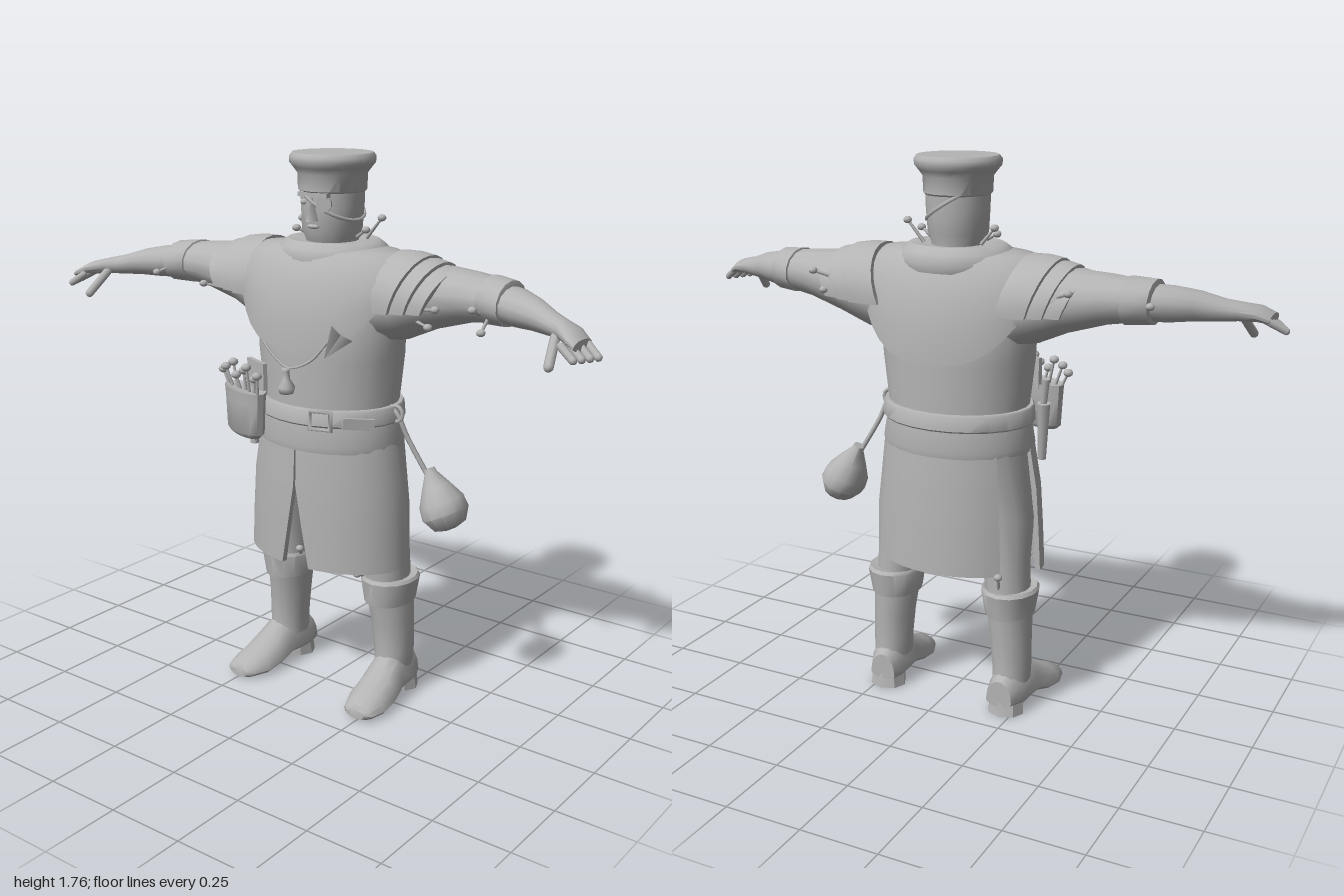
import * as THREE from 'three';
import { toCreasedNormals } from 'three/addons/utils/BufferGeometryUtils.js';

const V = (x, y, z) => new THREE.Vector3(x, y, z);

// Skin a list of closed loops; strip caps also suit thin C-shaped loops.
function loft(rings, crease = 0.75, caps = true) {
  const n = rings[0].length, pos = [], idx = [];
  rings.forEach(r => r.forEach(p => pos.push(p.x, p.y, p.z)));
  for (let k = 0; k < rings.length - 1; k++) for (let i = 0; i < n; i++) {
    const j = (i + 1) % n, a = k * n + i, b = k * n + j;
    idx.push(a, b, b + n, a, b + n, a + n);
  }
  if (caps) for (let i = 0; i < n / 2 - 1; i++) {
    const t = (rings.length - 1) * n, q = [i, i + 1, n - 2 - i, n - 1 - i];
    idx.push(q[0], q[2], q[1], q[0], q[3], q[2]);
    idx.push(t + q[0], t + q[1], t + q[2], t + q[0], t + q[2], t + q[3]);
  }
  const g = new THREE.BufferGeometry();
  g.setAttribute('position', new THREE.Float32BufferAttribute(pos, 3));
  g.setIndex(idx);
  return toCreasedNormals(g, crease);
}
const around = (n, f) => Array.from({ length: n }, (_, i) => f(i / n * Math.PI * 2));
// Upright body sections: [y, rx, rz, cx, cz]
const upright = (rows, n = 20) => loft(rows.map(([y, rx, rz, cx = 0, cz = -0.03]) =>
  around(n, a => V(cx + rx * Math.sin(a), y, cz + rz * Math.cos(a)))));
// Sideways sections for arms: [x, cy, cz, ry, rz]
const sideways = (rows, n = 14) => loft(rows.map(([x, cy, cz, ry, rz]) =>
  around(n, a => V(x, cy + ry * Math.cos(a), cz + rz * Math.sin(a)))));
// Thin curved sheet: point(k, angle, inset) swept between two angles per row
function sheet(rows, from, to, point, n = 14) {
  return loft(rows.map(r => {
    const out = [], inn = [];
    for (let i = 0; i <= n; i++) {
      const a = THREE.MathUtils.lerp(from(r), to(r), i / n);
      out.push(point(r, a, 0));
      inn.unshift(point(r, a, 0.018));
    }
    return out.concat(inn);
  }));
}
function mirrored(geo) {
  const g = geo.index ? geo.toNonIndexed() : geo.clone();
  g.scale(-1, 1, 1);
  for (const at of Object.values(g.attributes)) {
    const s = at.itemSize, d = at.array;
    for (let t = 0; t < d.length; t += 3 * s) for (let c = 0; c < s; c++) {
      const h = d[t + s + c];
      d[t + s + c] = d[t + 2 * s + c];
      d[t + 2 * s + c] = h;
    }
  }
  return g;
}

export function createModel() {
  const root = new THREE.Group();
  root.name = 'figure';
  const clay = new THREE.MeshStandardMaterial({ color: 0xb4b4b4, side: THREE.DoubleSide });
  clay.name = 'clay grey';
  const add = (name, geo) => {
    const m = new THREE.Mesh(geo, clay);
    m.name = name;
    root.add(m);
    return m;
  };
  const pair = (name, geo) => {
    add(name + 'Left', geo);
    add(name + 'Right', mirrored(geo));
  };
  const rod = (a, b, r, r2 = r, n = 8) => {
    const d = b.clone().sub(a), g = new THREE.CylinderGeometry(r2, r, d.length(), n);
    g.applyQuaternion(new THREE.Quaternion().setFromUnitVectors(V(0, 1, 0), d.normalize()));
    return g.translate((a.x + b.x) / 2, (a.y + b.y) / 2, (a.z + b.z) / 2);
  };
  const finger = (a, b, r) => {
    const d = b.clone().sub(a), g = new THREE.CapsuleGeometry(r, d.length(), 3, 8);
    g.applyQuaternion(new THREE.Quaternion().setFromUnitVectors(V(0, 1, 0), d.normalize()));
    return g.translate((a.x + b.x) / 2, (a.y + b.y) / 2, (a.z + b.z) / 2);
  };
  const cord = (name, pts, r) =>
    add(name, new THREE.TubeGeometry(new THREE.CatmullRomCurve3(pts), 20, r, 6));
  const mushroom = (a, b, r = 0.014) => {
    add('mushroomStalk', rod(a, b, 0.006, 0.004, 6));
    add('mushroomCap', new THREE.SphereGeometry(r, 8, 6).scale(1, 0.8, 1).translate(b.x, b.y, b.z));
  };

  // Torso, waistband and belt
  add('torso', upright([[0.92, 0.24, 0.19], [1, 0.232, 0.188], [1.15, 0.25, 0.195],
    [1.25, 0.255, 0.19], [1.4, 0.24, 0.14], [1.46, 0.18, 0.1]], 24));
  add('waistband', upright([[0.86, 0.25, 0.197], [0.88, 0.252, 0.2], [0.95, 0.24, 0.193]], 24));
  add('belt', upright([[0.945, 0.248, 0.2], [0.95, 0.252, 0.204], [0.995, 0.248, 0.2], [1, 0.244, 0.196]], 24));
  const buckle = add('buckle', new THREE.TorusGeometry(0.04, 0.008, 6, 4, Math.PI * 2).rotateZ(Math.PI / 4).scale(1.2, 1, 1));
  buckle.position.set(0.1, 0.97, 0.163);
  buckle.rotation.y = 0.3;
  const tail = add('beltTail', new THREE.BoxGeometry(0.1, 0.035, 0.012));
  tail.position.set(0.2, 0.962, 0.1);
  tail.rotation.set(0, 0.85, -0.1);

  // Skirt: two front flaps with a slit, one back flap
  const skirtPoint = ([y, rx, rz], a, t) => V((rx - t) * Math.sin(a), y, -0.03 + (rz - t) * Math.cos(a));
  pair('frontFlap', sheet([[0.47, 0.292, 0.197, 0.18], [0.6, 0.285, 0.197, 0.1], [0.74, 0.275, 0.196, 0.015],
    [0.88, 0.25, 0.19, 0.01]], r => r[3], () => 1.6, skirtPoint));
  add('backFlap', sheet([[0.48, 0.28, 0.212], [0.68, 0.27, 0.207], [0.88, 0.25, 0.193]],
    () => Math.PI - 0.87, () => Math.PI + 0.87, skirtPoint));

  // Shoulder cape dipping at front and back
  const cz = -0.03, edge = a => (Math.cos(a) > 0 ? 1.18 : 1.155) + 0.25 * Math.abs(Math.sin(a)) ** 3;
  const capeRing = (rx, rz, f) => around(40, a => V(rx * Math.sin(a), THREE.MathUtils.lerp(edge(a), 1.455, f),
    cz + rz * Math.cos(a)));
  add('cape', loft([capeRing(0.3, 0.19, 0.01), capeRing(0.32, 0.213, 0), capeRing(0.318, 0.21, 0.3),
    capeRing(0.31, 0.192, 0.65), capeRing(0.285, 0.15, 1), around(40, a => V(0.25 * Math.sin(a), 1.475, cz + 0.125 * Math.cos(a))),
    around(40, a => V(0.12 * Math.sin(a), 1.49, cz + 0.09 * Math.cos(a)))], 0.75, false));
  add('collar', upright([[1.42, 0.16, 0.135], [1.425, 0.18, 0.158], [1.45, 0.19, 0.165], [1.48, 0.178, 0.152],
    [1.5, 0.15, 0.128], [1.495, 0.1, 0.09]].map(r => [...r, 0, -0.04]), 24));
  const flap = add('tornCapeCorner', new THREE.ConeGeometry(0.045, 0.1, 3).scale(1, 1, 0.25));
  flap.position.set(0.15, 1.21, 0.165);
  flap.rotation.set(0.1, 0.4, 2.5);

  // Overlapping shoulder pads, swept back underneath
  const padPoint = ([x, cy, ry, rz], a, t) =>
    V(x - 0.045 * (1 - Math.cos(a)), cy + (ry - t) * Math.cos(a), -0.05 + (rz - t) * Math.sin(a));
  [[0.25, 0.35, 0.146, 0.155], [0.33, 0.4, 0.13, 0.142], [0.39, 0.45, 0.112, 0.13]].forEach(([x0, x1, ry, rz], i) =>
    pair('shoulderPad' + i, sheet([[x0, 1.338, ry, rz - 0.005], [(x0 + x1) / 2, 1.338, ry, rz], [x1, 1.338, ry - 0.008, rz]],
      () => -1.75, () => 1.75, padPoint)));

  // Arms and hands
  pair('sleeve', sideways([[0.18, 1.32, -0.04, 0.13, 0.12], [0.28, 1.335, -0.05, 0.122, 0.125],
    [0.38, 1.355, -0.06, 0.098, 0.116], [0.5, 1.368, -0.052, 0.076, 0.1], [0.6, 1.37, -0.045, 0.062, 0.088]]));
  pair('armCuff', sideways([[0.56, 1.37, -0.048, 0.06, 0.085], [0.565, 1.37, -0.048, 0.072, 0.098],
    [0.64, 1.368, -0.03, 0.067, 0.09], [0.645, 1.368, -0.03, 0.05, 0.07]]));
  pair('forearm', sideways([[0.6, 1.368, -0.04, 0.055, 0.082], [0.68, 1.363, -0.012, 0.054, 0.076], [0.75, 1.358, 0.02, 0.045, 0.06],
    [0.82, 1.346, 0.053, 0.033, 0.047], [0.86, 1.342, 0.075, 0.028, 0.047], [0.91, 1.334, 0.108, 0.023, 0.06],
    [0.945, 1.318, 0.128, 0.016, 0.055]]));
  for (let i = 0; i < 4; i++)
    pair('finger' + i, finger(V(0.935 - 0.01 * i, 1.318, 0.085 + 0.03 * i), V(0.985 - 0.012 * i, 1.288, 0.113 + 0.025 * i), 0.0115));
  pair('thumb', finger(V(0.855, 1.325, 0.11), V(0.875, 1.258, 0.18), 0.014));

  // Legs, knee cuffs and boots
  pair('trouserLeg', upright([[0.36, 0.072, 0.085, 0.2, -0.075], [0.5, 0.075, 0.083, 0.192, -0.07],
    [0.65, 0.1, 0.105, 0.17, -0.055], [0.87, 0.125, 0.145, 0.118, -0.04]], 14));
  pair('kneeCuff', upright([[0.325, 0.065, 0.075, 0.208, -0.075], [0.33, 0.078, 0.098, 0.208, -0.075],
    [0.41, 0.092, 0.108, 0.208, -0.076], [0.42, 0.086, 0.1, 0.207, -0.076], [0.415, 0.07, 0.08, 0.203, -0.076]], 14));
  pair('bootShaft', upright([[0.1, 0.06, 0.074, 0.22, -0.085], [0.16, 0.064, 0.07, 0.22, -0.085],
    [0.25, 0.067, 0.076, 0.215, -0.083], [0.35, 0.073, 0.088, 0.208, -0.077]], 14));
  pair('foot', loft([[-0.175, 0.215, 0.045, 0.03, 0.12], [-0.13, 0.22, 0.062, 0.028, 0.155], [-0.03, 0.228, 0.066, 0.03, 0.155],
    [0.03, 0.235, 0.073, 0.012, 0.11], [0.1, 0.24, 0.073, 0, 0.075], [0.155, 0.245, 0.055, 0, 0.052], [0.17, 0.245, 0.035, 0.004, 0.035]]
    .map(([z, cx, w, lo, hi]) => around(14, a => V(cx + w * Math.cos(a),
      Math.sin(a) < 0 ? lo + 0.02 * (1 + Math.sin(a)) : lo + 0.02 + (hi - lo - 0.02) * Math.sin(a), z)))));
  pair('heel', upright([[0, 0.062, 0.055, 0.22, -0.128], [0.045, 0.058, 0.055, 0.22, -0.122]], 8));

  // Head, face and flared hat
  add('head', upright([[1.42, 0.075, 0.075, 0, -0.05], [1.5, 0.08, 0.088, 0, -0.035], [1.53, 0.092, 0.1, 0, -0.033],
    [1.6, 0.097, 0.103, 0, -0.035], [1.68, 0.1, 0.105, 0, -0.035]], 18));
  add('nose', new THREE.ConeGeometry(0.022, 0.075, 4).scale(1, 1, 1.5).translate(0, 1.6, 0.068));
  add('mouth', new THREE.SphereGeometry(0.024, 8, 6).scale(1, 0.3, 0.5).translate(0, 1.545, 0.064));
  add('brow', new THREE.BoxGeometry(0.11, 0.014, 0.025).translate(0, 1.64, 0.058));
  add('eye', new THREE.SphereGeometry(0.013, 8, 6).scale(1, 0.7, 0.6).translate(-0.038, 1.617, 0.061));
  add('eyePatch', new THREE.CylinderGeometry(0.025, 0.025, 0.009, 10).rotateX(Math.PI / 2).rotateY(0.4).translate(0.04, 1.615, 0.063));
  const strap = add('eyePatchStrap', new THREE.TorusGeometry(0.106, 0.006, 5, 28).rotateX(Math.PI / 2).scale(1.04, 1, 1));
  strap.position.set(0, 1.62, -0.035);
  strap.rotation.z = -0.55;
  add('hat', upright([[1.645, 0.1, 0.105], [1.65, 0.105, 0.11], [1.7, 0.108, 0.11], [1.718, 0.122, 0.122], [1.732, 0.134, 0.132],
    [1.75, 0.135, 0.133], [1.762, 0.126, 0.124]].map(r => [...r, 0, -0.035]), 22));

  // Pendant bottle on a cord
  cord('pendantCord', [V(-0.15, 1.215, 0.155), V(-0.08, 1.16, 0.172), V(-0.01, 1.125, 0.18), V(0.07, 1.155, 0.172), V(0.13, 1.22, 0.165)], 0.004);
  add('pendantBottle', new THREE.LatheGeometry([[0, 0], [0.022, 0.006], [0.028, 0.025], [0.012, 0.05], [0.01, 0.075], [0.015, 0.085], [0, 0.086]]
    .map(p => new THREE.Vector2(...p)), 10).translate(-0.01, 1.04, 0.188));

  // Hip pouch full of mushrooms, with a sheath behind
  const pouch = add('hipPouch', upright([[0.885, 0.08, 0.03, 0, 0], [0.9, 0.098, 0.043, 0, 0], [1.0, 0.105, 0.046, 0, 0],
    [1.035, 0.108, 0.049, 0, 0], [1.03, 0.09, 0.035, 0, 0]], 14));
  pouch.position.set(-0.183, 0, 0.18);
  pouch.rotation.y = -0.4;
  const back = add('pouchFlap', new THREE.BoxGeometry(0.11, 0.1, 0.014));
  back.position.set(-0.16, 1.07, 0.148);
  back.rotation.y = -0.4;
  for (let i = 0; i < 8; i++) {
    const x = -0.26 + 0.022 * i, z = 0.155 + 0.008 * i;
    mushroom(V(x, 1.0, z), V(x - 0.035 + 0.006 * i, 1.075 + 0.017 * (i % 3), z + 0.012 * (i % 2)), 0.016);
  }
  add('sheath', rod(V(-0.25, 0.81, 0.06), V(-0.262, 1.0, 0.04), 0.014, 0.022));
  add('knifeGrip', rod(V(-0.262, 1.0, 0.04), V(-0.27, 1.08, 0.035), 0.011, 0.014));

  // Round bag hanging from the belt
  cord('bagCord', [V(0.225, 1.0, -0.03), V(0.255, 0.975, -0.03), V(0.285, 0.9, -0.045), V(0.345, 0.79, -0.065)], 0.008);
  add('beltLoop', new THREE.TorusGeometry(0.025, 0.007, 6, 12).translate(0.25, 0.975, -0.03));
  const bag = add('roundBag', upright([[-0.1, 0.02, 0.025, 0, 0], [-0.09, 0.05, 0.06, 0, 0], [-0.05, 0.073, 0.085, 0, 0],
    [-0.01, 0.07, 0.08, 0, 0], [0.04, 0.045, 0.05, 0, 0], [0.085, 0.02, 0.022, 0, 0], [0.1, 0.018, 0.018, 0, 0]], 12));
  bag.position.set(0.393, 0.715, -0.072);
  bag.rotation.z = 0.45;

  // Mushrooms sprouting from head, arms and knees
  [[-0.09, 1.5, -0.06, -0.13, 1.55, -0.05], [-0.09, 1.51, -0.02, -0.115, 1.525, 0], [0.09, 1.5, -0.09, 0.14, 1.565, -0.1],
    [0.09, 1.51, -0.04, 0.13, 1.535, -0.03], [-0.38, 1.31, 0.04, -0.44, 1.325, 0.08], [0.36, 1.29, 0.03, 0.43, 1.29, 0.08],
    [0.36, 1.33, 0.05, 0.44, 1.34, 0.06], [0.58, 1.34, 0.04, 0.58, 1.36, 0.085], [0.6, 1.33, 0.03, 0.59, 1.29, 0.05],
    [-0.62, 1.36, 0.03, -0.65, 1.34, 0.08], [-0.64, 1.36, -0.09, -0.65, 1.37, -0.115], [-0.38, 1.38, -0.16, -0.43, 1.4, -0.19],
    [0.38, 1.38, -0.16, 0.43, 1.4, -0.19], [0.38, 1.35, -0.16, 0.4, 1.34, -0.18], [0.14, 0.43, -0.01, 0.12, 0.45, 0.03],
    [0.15, 0.42, 0, 0.16, 0.44, 0.045], [-0.13, 0.42, -0.03, -0.11, 0.45, 0.0], [-0.2, 0.43, -0.15, -0.21, 0.48, -0.175]]
    .forEach(p => mushroom(V(...p.slice(0, 3)), V(...p.slice(3))));
  return root;
}
